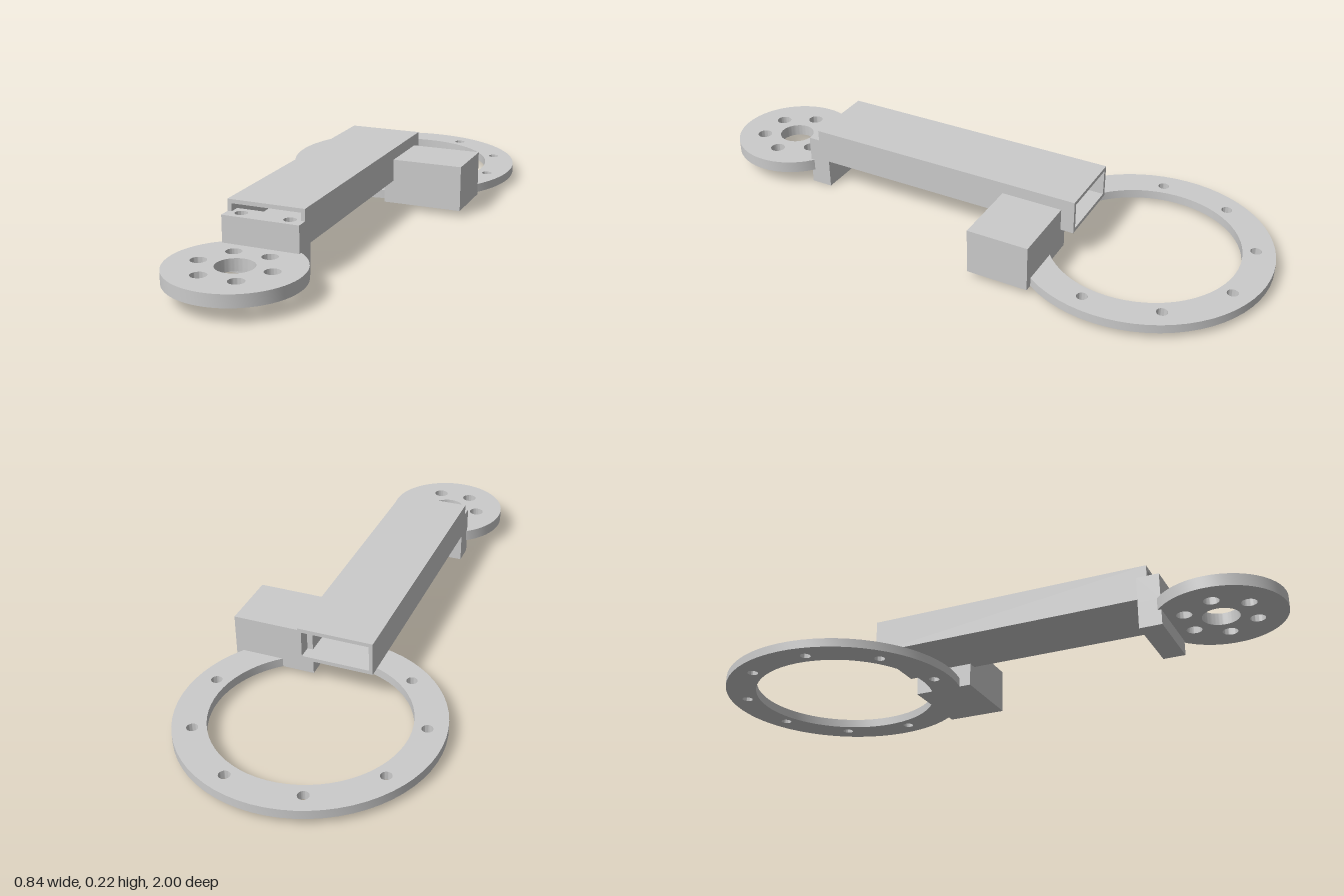
import * as THREE from 'three';
import { toCreasedNormals } from 'three/addons/utils/BufferGeometryUtils.js';

const material = new THREE.MeshStandardMaterial({ color: 0xcccccc });

function circleHole(x, y, r) {
  const p = new THREE.Path();
  p.absarc(x, y, r, 0, Math.PI * 2, true);
  return p;
}

// Rectangle outline centred on the origin
function rect(w, h, Type = THREE.Shape) {
  const a = w / 2, b = h / 2;
  return new Type([[-a, -b], [a, -b], [a, b], [-a, b]].map(([x, y]) => new THREE.Vector2(x, y)));
}

function extrude(shape, depth) {
  return new THREE.ExtrudeGeometry(shape, { depth, bevelEnabled: false, curveSegments: 32 });
}

// Horizontal plate from y0 to y1, shape y pointing to -z
function plate(name, shape, y0, y1, z) {
  const geo = toCreasedNormals(extrude(shape, y1 - y0).rotateX(-Math.PI / 2), 0.5);
  const mesh = new THREE.Mesh(geo, material);
  mesh.name = name;
  mesh.position.set(0, y0, z);
  return mesh;
}

// Round flange with a centre bore and a circle of bolt holes
function flange(name, { r, bore, count, boltR, holeR, start, y0, y1, z }) {
  const shape = new THREE.Shape();
  shape.absarc(0, 0, r, 0, Math.PI * 2, false);
  shape.holes.push(circleHole(0, 0, bore));
  for (let i = 0; i < count; i++) {
    const a = start + (i / count) * Math.PI * 2;
    shape.holes.push(circleHole(Math.cos(a) * boltR, Math.sin(a) * boltR, holeR));
  }
  return plate(name, shape, y0, y1, z);
}

function box(name, [x0, x1], [y0, y1], [z0, z1]) {
  const mesh = new THREE.Mesh(new THREE.BoxGeometry(x1 - x0, y1 - y0, z1 - z0), material);
  mesh.name = name;
  mesh.position.set((x0 + x1) / 2, (y0 + y1) / 2, (z0 + z1) / 2);
  return mesh;
}

export function createModel() {
  const model = new THREE.Group();

  // Large ring at the back, small disc at the front
  model.add(flange('rearRing', {
    r: 0.42, bore: 0.315, count: 9, boltR: 0.358, holeR: 0.018,
    start: Math.PI / 2 + Math.PI / 9, y0: 0.02, y1: 0.05, z: -0.58,
  }));
  model.add(flange('frontDisc', {
    r: 0.21, bore: 0.06, count: 6, boltR: 0.118, holeR: 0.025,
    start: 0, y0: 0.05, y1: 0.09, z: 0.79,
  }));

  // Hollow rectangular arm, open at both ends
  const tubeShape = rect(0.254, 0.115);
  tubeShape.holes.push(rect(0.228, 0.089, THREE.Path));
  const tube = new THREE.Mesh(extrude(tubeShape, 0.98), material);
  tube.name = 'armTube';
  tube.position.set(0, 0.1575, -0.385);
  model.add(tube);

  // Side block, reaching just through the tube wall
  model.add(box('sideBlock', [0.095, 0.37], [0.02, 0.176], [-0.34, -0.13]));

  // Front bracket: solid base and an upper part with two blind screw holes
  const bracket = new THREE.Group();
  bracket.name = 'frontBracket';
  bracket.add(box('bracketBase', [-0.127, 0.127], [0, 0.09], [0.56, 0.635]));
  const top = rect(0.254, 0.075);
  for (const s of [-1, 1]) top.holes.push(circleHole(s * 0.08, 0, 0.02));
  bracket.add(plate('bracketTop', top, 0.09, 0.177, 0.5975));
  model.add(bracket);

  return model;
}
